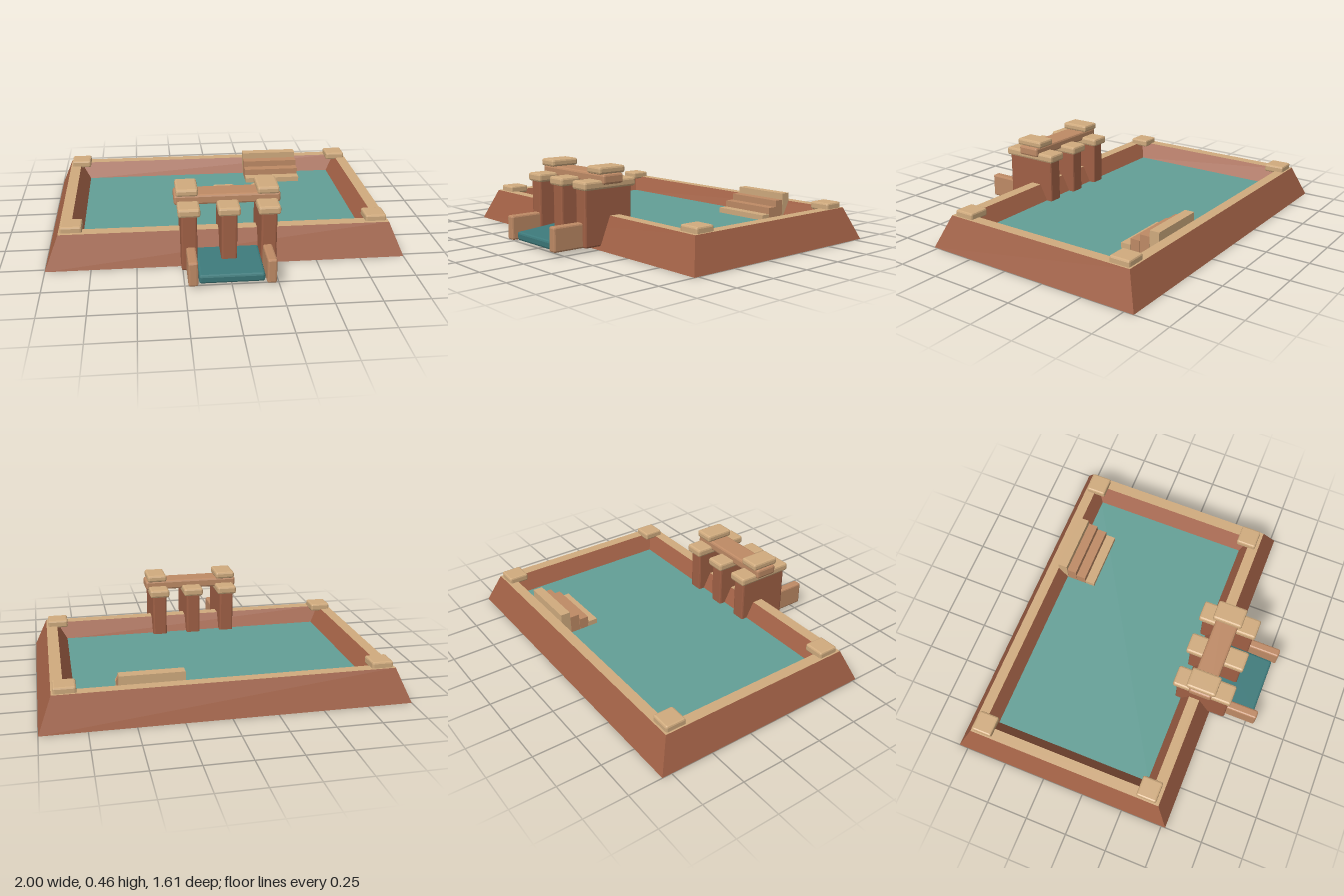
import * as THREE from 'three';
import { RoundedBoxGeometry } from 'three/addons/geometries/RoundedBoxGeometry.js';

const mat = (name, color, side = THREE.FrontSide) => {
  const m = new THREE.MeshStandardMaterial({ color, side });
  m.name = name;
  return m;
};

export function createModel() {
  const model = new THREE.Group();
  model.name = 'walledPool';
  const clay = mat('clay', 0xa06045, THREE.DoubleSide);
  const sand = mat('sand', 0xd0ab7e, THREE.DoubleSide);
  const tan = mat('tan', 0xbe8a65);
  const water = mat('water', 0x639f96);
  const deepWater = mat('deepWater', 0x3d7a7b);

  const add = (name, geometry, material, parent = model) => {
    const mesh = new THREE.Mesh(geometry, material);
    mesh.name = name;
    parent.add(mesh);
    return mesh;
  };

  // Chamfered or plain box given by its limits on each axis
  const block = (name, material, [x0, x1], [y0, y1], [z0, z1], bevel = 0, parent = model) => {
    const size = [x1 - x0, y1 - y0, z1 - z0];
    const g = bevel ? new RoundedBoxGeometry(...size, 1, bevel) : new THREE.BoxGeometry(...size);
    g.computeVertexNormals();
    const mesh = add(name, g, material, parent);
    mesh.position.set((x0 + x1) / 2, (y0 + y1) / 2, (z0 + z1) / 2);
    return mesh;
  };

  // Band of four flat faces between two rectangles { x, back, front, y }
  const band = (name, material, a, b) => {
    const corners = (r) => [
      [-r.x, r.y, r.front], [r.x, r.y, r.front], [r.x, r.y, r.back], [-r.x, r.y, r.back],
    ];
    const A = corners(a), B = corners(b), pos = [];
    for (let i = 0; i < 4; i++) {
      const j = (i + 1) % 4;
      for (const p of [A[i], A[j], B[j], A[i], B[j], B[i]]) pos.push(...p);
    }
    const g = new THREE.BufferGeometry();
    g.setAttribute('position', new THREE.Float32BufferAttribute(pos, 3));
    g.computeVertexNormals();
    return add(name, g, material);
  };

  // Hollow sloping wall with a flat rim
  const foot = { x: 1, back: -0.805, front: 0.525, y: 0 };
  const rimOuter = { x: 0.925, back: -0.73, front: 0.45, y: 0.183 };
  const rimInner = { x: 0.86, back: -0.67, front: 0.385, y: 0.183 };
  const shore = { x: 0.8, back: -0.617, front: 0.335, y: 0.088 };
  band('outerWall', clay, foot, rimOuter);
  band('wallRim', sand, rimOuter, rimInner);
  band('innerWall', clay, rimInner, shore);

  // Pool slab
  block('poolWater', water, [-0.82, 0.82], [0.05, 0.09], [-0.637, 0.355]);

  // Corner caps
  for (const x of [-0.855, 0.855]) {
    for (const z of [-0.66, 0.37]) {
      block('cornerCap', sand, [x - 0.06, x + 0.06], [0.172, 0.217], [z - 0.06, z + 0.06], 0.01);
    }
  }

  // Steps descending from the back wall into the pool
  const steps = new THREE.Group();
  steps.name = 'steps';
  model.add(steps);
  [sand, tan, tan, sand].forEach((m, i) => {
    const z = -0.67 + i * 0.059;
    block('step', m, [0.225, 0.575], [0.085, 0.232 - i * 0.037], [z, z + 0.057], 0, steps);
  });

  // Gate: three deep piers with caps
  const gate = new THREE.Group();
  gate.name = 'gate';
  model.add(gate);
  for (const x of [-0.215, 0, 0.215]) {
    block('pier', clay, [x - 0.043, x + 0.043], [0.02, 0.35], [0.3, 0.617], 0.01, gate);
    block('pierCap', sand, [x - 0.06, x + 0.06], [0.335, 0.383], [0.28, 0.63], 0.012, gate);
  }
  // Cross beam with end caps
  block('beam', tan, [-0.29, 0.29], [0.36, 0.417], [0.38, 0.515], 0.012, gate);
  for (const x of [-0.22, 0.22]) {
    block('beamCap', sand, [x - 0.06, x + 0.06], [0.415, 0.457], [0.36, 0.535], 0.012, gate);
  }
  // Side walls of the outflow
  for (const x of [-0.207, 0.207]) {
    block('wingWall', tan, [x - 0.026, x + 0.026], [0.02, 0.158], [0.5, 0.8], 0.01, gate);
  }
  // Tilted outflow channel
  const channel = block('outflow', deepWater, [-0.175, 0.175], [0.032, 0.082], [0.43, 0.775], 0.012, gate);
  channel.rotation.x = 0.08;

  return model;
}
